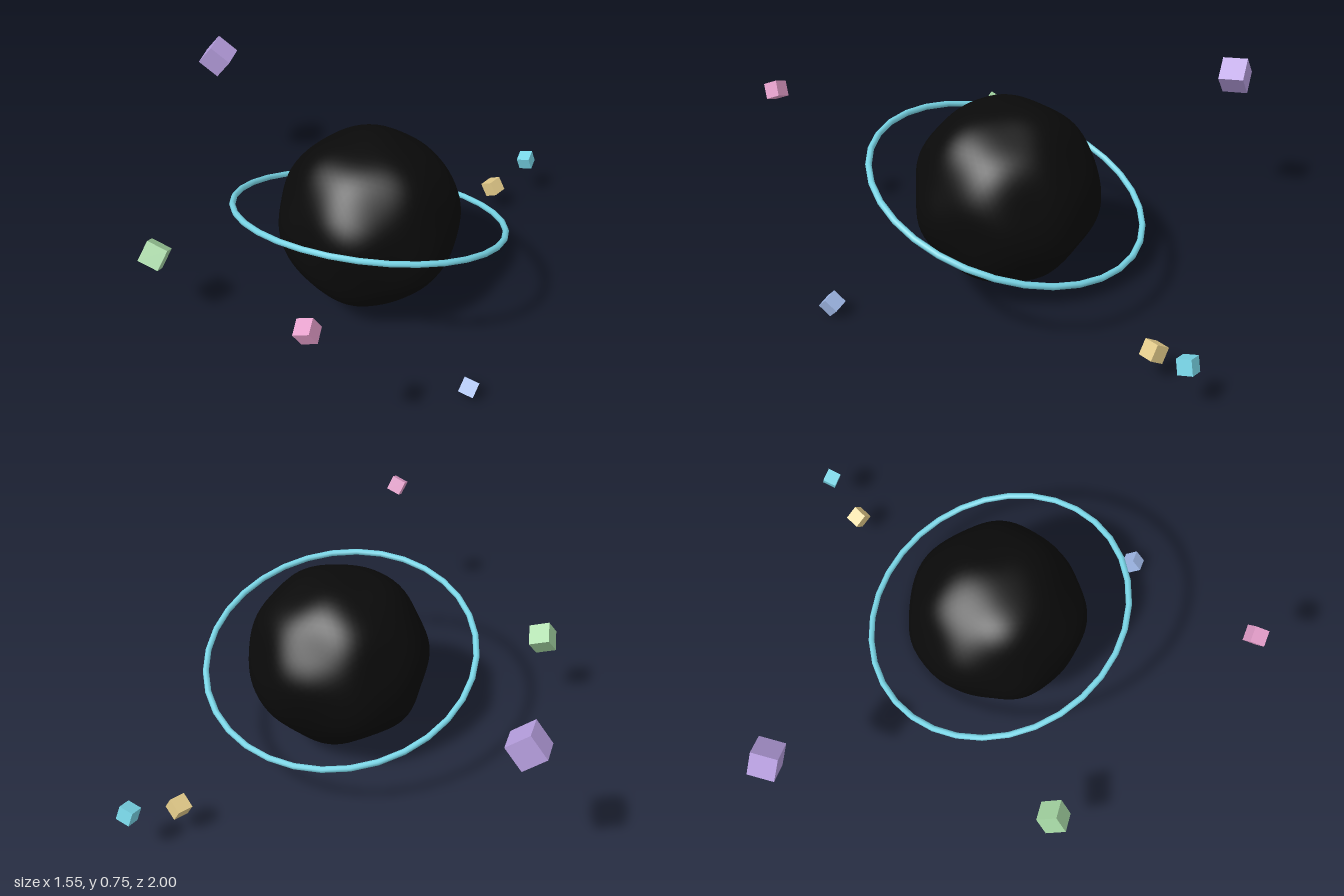
import * as THREE from 'three';
import { mergeVertices } from 'three/addons/utils/BufferGeometryUtils.js';

function material(name, color) {
  const m = new THREE.MeshStandardMaterial({ color });
  m.name = name;
  return m;
}

// Sphere with gentle smooth lumps
function lumpySphere(radius, lump) {
  let geo = new THREE.IcosahedronGeometry(1, 14);
  geo.deleteAttribute('uv');
  geo.deleteAttribute('normal');
  geo = mergeVertices(geo, 1e-4);
  const pos = geo.attributes.position;
  const v = new THREE.Vector3();
  for (let i = 0; i < pos.count; i++) {
    v.fromBufferAttribute(pos, i);
    const n = Math.sin(5.2 * v.x + 1.1) * Math.sin(5.7 * v.y + 0.6)
      + Math.sin(6.1 * v.y - 0.8) * Math.sin(5.4 * v.z + 2.0)
      + Math.sin(5.6 * v.z + 0.4) * Math.sin(6.3 * v.x - 1.3);
    v.multiplyScalar(radius + lump * n);
    pos.setXYZ(i, v.x, v.y, v.z);
  }
  geo.computeVertexNormals();
  return geo;
}

export function createModel() {
  const group = new THREE.Group();
  const cyan = material('cyan', 0x78d5e6);

  // Dark central body
  const body = new THREE.Mesh(lumpySphere(0.362, 0.007), material('black', 0x0a0a0a));
  body.name = 'planet';
  body.position.set(0.195, 0.394, -0.05);
  group.add(body);

  // Thin ring, raised at the front
  const ring = new THREE.Mesh(new THREE.TorusGeometry(0.55, 0.0125, 8, 32), cyan);
  ring.name = 'ring';
  ring.position.set(0.192, 0.405, -0.054);
  ring.rotation.x = Math.PI / 2 - 0.316;
  group.add(ring);

  // Floating cubes: name, material, size, position, rotation
  const cubes = [
    ['purpleCube', material('purple', 0xb59ddd), 0.105, [-0.705, 0.646, -0.673], [0.1, 0.03, -0.67]],
    ['greenCube', material('green', 0xa5d6a3), 0.088, [-0.549, 0.344, 0.395], [-0.55, 0.2, -0.3]],
    ['blueCube', material('blue', 0xa0b9e8), 0.06, [0.734, 0.052, 0.428], [-0.75, 0.1, -0.22]],
    ['pinkCube', material('pink', 0xe39dc9), 0.062, [0.275, 0.655, 0.955], [0.4, 0.08, 0.36]],
    ['yellowCube', material('yellow', 0xe3cb8a), 0.062, [0.57, 0.122, -0.806], [0.1, -0.48, 0.6]],
    ['cyanCube', cyan, 0.057, [0.686, 0.194, -0.964], [0.28, -0.08, 0.28]],
  ];
  for (const [name, mat, size, position, rotation] of cubes) {
    const cube = new THREE.Mesh(new THREE.BoxGeometry(size, size, size), mat);
    cube.name = name;
    cube.position.set(...position);
    cube.rotation.set(...rotation);
    group.add(cube);
  }
  return group;
}
